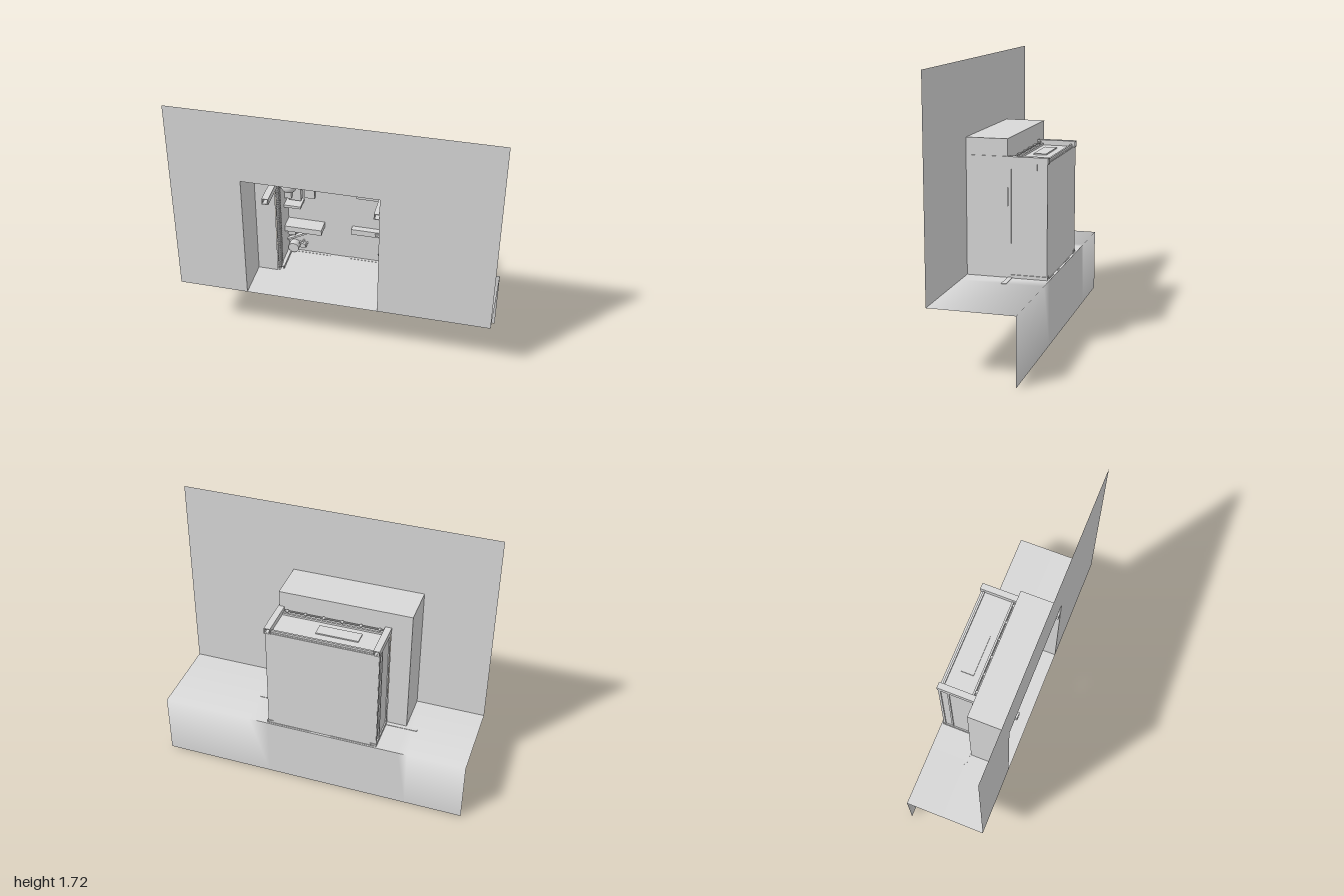
import * as THREE from 'three';

export function createModel() {
  const root = new THREE.Group();
  const grey = new THREE.MeshStandardMaterial({ color: 0xd8d8d8, side: THREE.DoubleSide });
  grey.name = 'plain grey';

  const add = (name, geometry, x = 0, y = 0, z = 0, parent = root) => {
    const mesh = new THREE.Mesh(geometry, grey);
    mesh.name = name;
    mesh.position.set(x, y, z);
    parent.add(mesh);
    return mesh;
  };
  // Box given by its limits on each axis
  const box = (name, x0, x1, y0, y1, z0, z1, parent) =>
    add(name, new THREE.BoxGeometry(x1 - x0, y1 - y0, z1 - z0),
      (x0 + x1) / 2, (y0 + y1) / 2, (z0 + z1) / 2, parent);
  // Round part whose axis points out of the room floor (+z)
  const disc = (name, r, x, y, z0, z1, parent) =>
    add(name, new THREE.CylinderGeometry(r, r, z1 - z0, 20).rotateX(Math.PI / 2),
      x, y, (z0 + z1) / 2, parent);
  const outline = (points) => new THREE.Shape(points.map(([x, y]) => new THREE.Vector2(x, y)));
  const rect = (x0, x1, y0, y1) => outline([[x0, y0], [x1, y0], [x1, y1], [x0, y1]]);

  // Facade sheet with a doorway open at the bottom
  add('facade', new THREE.ShapeGeometry(outline([
    [-1, 0.41], [-0.555, 0.41], [-0.555, 1.26], [0.29, 1.26],
    [0.29, 0.41], [1, 0.41], [1, 1.72], [-1, 1.72]])), 0, 0, 0.26);

  // Niche behind the doorway
  const sheet = (name, w, h) => add(name, new THREE.PlaneGeometry(w, h));
  for (const [x, turn] of [[-0.555, 1], [0.29, -1]]) {
    const side = sheet('nicheSide', 0.26, 0.85);
    side.rotation.y = turn * Math.PI / 2;
    side.position.set(x, 0.835, 0.13);
  }
  const nicheTop = sheet('nicheTop', 0.845, 0.26);
  nicheTop.rotation.x = Math.PI / 2;
  nicheTop.position.set(-0.1325, 1.26, 0.13);
  add('nicheBack', new THREE.ShapeGeometry(outline([
    [-0.555, 0.41], [-0.425, 0.41], [-0.425, 1.12], [0.29, 1.12],
    [0.29, 1.26], [-0.555, 1.26]])));

  // Ground sheet and drop, rounded by soft normals along the outer edge
  const ground = new THREE.BufferGeometry();
  const columns = [-1, -0.63, -0.57, 0.29, 0.42, 1];
  const pos = [], nor = [], idx = [];
  columns.forEach((x, i) => {
    const soft = i < 2 || i > 3;
    const s = Math.SQRT1_2;
    pos.push(x, 0.41, 0.26, x, 0.41, -0.26, x, 0.41, -0.26, x, 0, -0.26);
    nor.push(0, 1, 0, ...(soft ? [0, s, -s, 0, s, -s] : [0, 1, 0, 0, 0, -1]), 0, 0, -1);
    if (i === 0) return;
    for (const k of [0, 2]) {
      const a = (i - 1) * 4 + k, b = i * 4 + k;
      idx.push(a, b, a + 1, b, b + 1, a + 1);
    }
  });
  ground.setAttribute('position', new THREE.Float32BufferAttribute(pos, 3));
  ground.setAttribute('normal', new THREE.Float32BufferAttribute(nor, 3));
  ground.setIndex(idx);
  add('ground', ground);

  // Room shell
  const room = new THREE.Group();
  room.name = 'room';
  root.add(room);
  box('roomBack', -0.425, 0.29, 0.4, 1.12, -0.245, -0.238, room);
  box('roomRight', 0.283, 0.289, 0.41, 1.12, -0.24, 0, room);
  box('roomLeft', -0.42, -0.41, 0.41, 1.12, -0.24, -0.02, room);
  box('roomRoof', -0.41, 0.285, 1.115, 1.122, -0.24, 0, room);
  box('roofPanel', -0.27, 0, 1.122, 1.13, -0.16, -0.08, room);
  for (const z of [-0.225, -0.035])
    box('roofStrip', -0.39, 0.255, 1.12, 1.135, z - 0.006, z + 0.006, room);
  for (const z of [-0.235, -0.18, -0.02])
    box('sidePost', -0.427, -0.418, 0.41, 1.12, z - 0.006, z + 0.006, room);
  for (const z of [-0.18, -0.02])
    box('rightSeam', 0.289, 0.292, 0.43, 1.12, z - 0.002, z + 0.002, room);

  // Hollow square tubes running front to back
  const tube = (name, x, y, z0, z1) => {
    const shape = rect(-0.02, 0.02, -0.02, 0.02);
    shape.holes.push(rect(-0.015, 0.015, -0.015, 0.015));
    add(name, new THREE.ExtrudeGeometry(shape, { depth: z1 - z0, bevelEnabled: false }), x, y, z0);
  };
  for (const x of [-0.408, 0.276]) {
    tube('topBeam', x, 1.135, -0.25, 0.26);
    tube('bottomBeam', x, 0.41, -0.25, -0.02);
  }

  // Rail along the top with knobs
  add('topRail', new THREE.CylinderGeometry(0.005, 0.005, 0.64, 8).rotateZ(Math.PI / 2), -0.07, 1.142, -0.02);
  for (let i = 0; i < 6; i++)
    add('railKnob', new THREE.SphereGeometry(0.01, 10, 8), -0.36 + i * 0.118, 1.142, -0.02);

  // Stacked fins down the left edge
  for (let i = 0; i < 42; i++) {
    const y = 0.435 + i * 0.016;
    box('fin', -0.42, -0.403, y, y + 0.009, -0.05, 0);
  }

  // Bottom wall with a stepped porch, and side plates
  add('bottomWall', new THREE.ExtrudeGeometry(outline([
    [-0.42, 0.395], [-0.142, 0.395], [-0.142, 0.338], [-0.125, 0.338], [-0.125, 0.412], [-0.42, 0.412],
  ]), { depth: 0.03, bevelEnabled: false }), 0, 0, -0.25);
  add('bottomWall', new THREE.ExtrudeGeometry(outline([
    [0.29, 0.395], [0.02, 0.395], [0.02, 0.338], [0.005, 0.338], [0.005, 0.412], [0.29, 0.412],
  ]), { depth: 0.03, bevelEnabled: false }), 0, 0, -0.25);
  box('leftPlate', -0.63, -0.41, 0.395, 0.413, -0.03, -0.005);
  box('rightPlate', 0.28, 0.43, 0.395, 0.413, -0.03, 0);

  // Furniture stands on the room back and points out to +z
  const furniture = new THREE.Group();
  furniture.name = 'furniture';
  root.add(furniture);
  const F = -0.238;
  const item = (name, x0, x1, y0, y1, h) => box(name, x0, x1, y0, y1, F, F + h, furniture);
  item('leftPartition', -0.41, -0.165, 0.63, 0.67, 0.1);
  item('rightPartition', 0.02, 0.283, 0.63, 0.67, 0.04);
  item('rightPartitionCap', 0.18, 0.283, 0.645, 0.662, 0.05);
  item('table', 0.05, 0.22, 0.91, 0.98, 0.03);
  for (const x of [0.085, 0.135, 0.185]) disc('plate', 0.01, x, 0.944, F, F + 0.036, furniture);
  item('counter', -0.31, 0, 1.085, 1.115, 0.04);
  for (const x of [-0.25, -0.17, -0.1]) disc('basin', 0.012, x, 1.1, F, F + 0.05, furniture);
  item('cornerCabinet', 0.16, 0.28, 1.075, 1.115, 0.03);
  item('desk', -0.29, -0.225, 0.865, 0.945, 0.03);
  item('shelf', -0.41, -0.3, 0.82, 0.838, 0.1);
  item('sideCabinet', -0.41, -0.365, 0.88, 0.95, 0.08);
  item('sideBox', -0.39, -0.31, 0.85, 0.97, 0.05);
  disc('globeStand', 0.012, -0.36, 1.03, F, -0.13, furniture);
  add('globe', new THREE.SphereGeometry(0.055, 24, 16), -0.36, 1.03, -0.1, furniture);
  disc('roundTable', 0.035, -0.37, 0.46, F, F + 0.05, furniture);

  // Small round chairs with five feet
  for (const [x, y] of [[-0.09, 1.03], [-0.31, 0.475], [0.225, 0.465], [-0.32, 0.94]]) {
    disc('chairSeat', 0.018, x, y, F, F + 0.035, furniture);
    for (let i = 0; i < 5; i++) {
      const a = i * Math.PI * 0.4 + 0.3;
      disc('chairFoot', 0.006, x + 0.024 * Math.cos(a), y + 0.024 * Math.sin(a), F, F + 0.02, furniture);
    }
  }

  // Reclining lounger with a slanted arm
  item('lounger', -0.4, -0.35, 0.575, 0.615, 0.06);
  const arm = add('loungerArm', new THREE.BoxGeometry(0.16, 0.012, 0.03), -0.335, 0.565, F + 0.04, furniture);
  arm.rotation.z = 0.5;

  return root;
}
